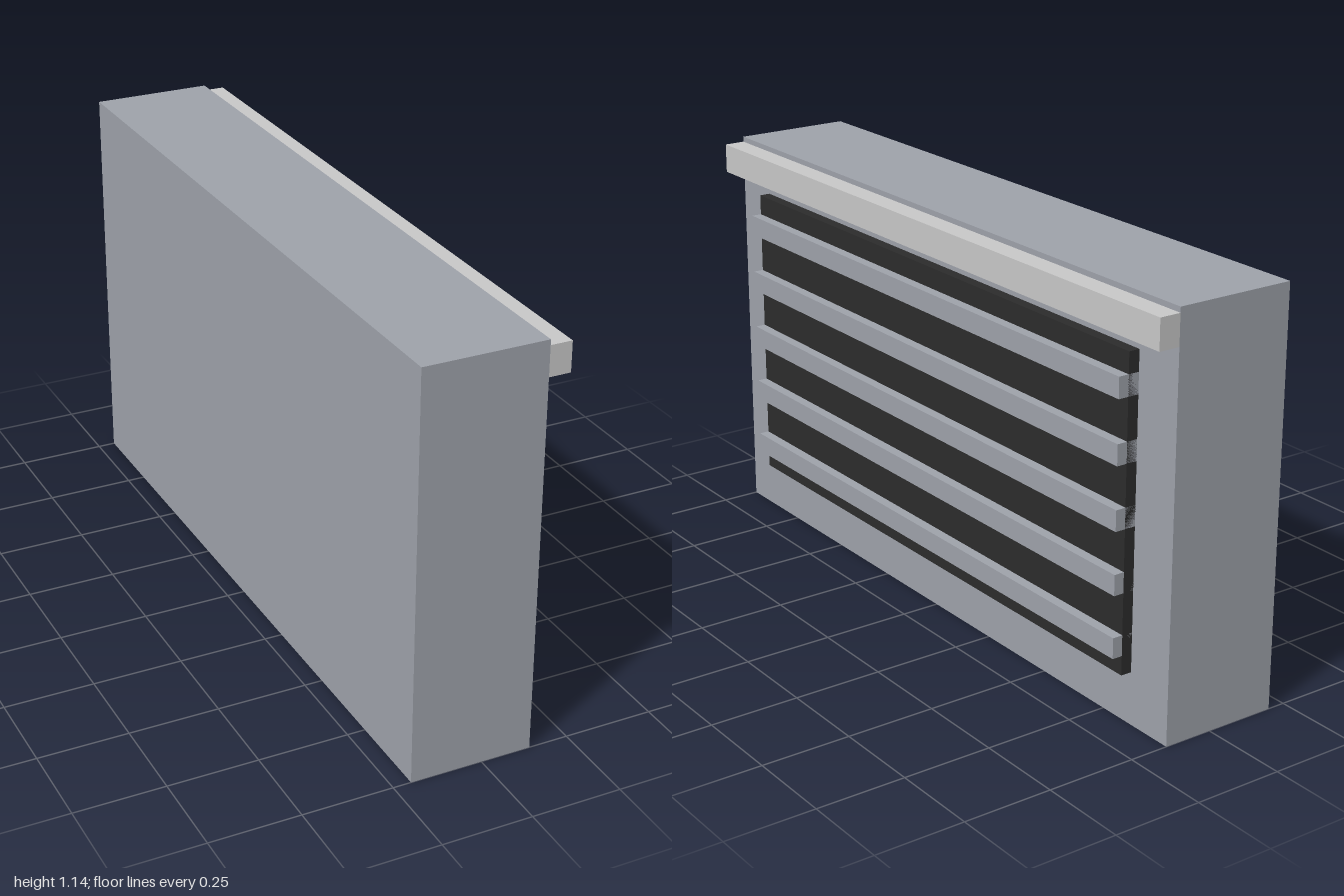
import * as THREE from 'three';

export function createModel() {
  const group = new THREE.Group();
  const grey = new THREE.MeshStandardMaterial({ color: 0x9ea2aa });
  grey.name = 'casing grey';
  const dark = new THREE.MeshStandardMaterial({ color: 0x2c2c2c });
  dark.name = 'vent black';
  const light = new THREE.MeshStandardMaterial({ color: 0xc8c8c8 });
  light.name = 'trim light grey';

  // Box spanning x0..x1 and y0..y1, with its length centred along z
  function bar(name, material, x0, x1, y0, y1, length) {
    const mesh = new THREE.Mesh(new THREE.BoxGeometry(x1 - x0, y1 - y0, length), material);
    mesh.position.set((x0 + x1) / 2, (y0 + y1) / 2, 0);
    mesh.name = name;
    group.add(mesh);
  }

  // Main casing and the dark panel raised on its +x side
  bar('casing', grey, -0.2, 0.14, 0, 1.143, 2);
  bar('ventPanel', dark, 0.14, 0.171, 0.146, 1, 1.714);

  // Evenly spaced horizontal slats
  for (let i = 0; i < 5; i++) {
    const y = 0.2 + i * 0.1714;
    bar(`slat${i + 1}`, grey, 0.14, 0.2, y, y + 0.057, 1.714);
  }

  // Light trim along the top edge
  bar('topTrim', light, 0.14, 0.2, 1.045, 1.128, 2);

  return group;
}
